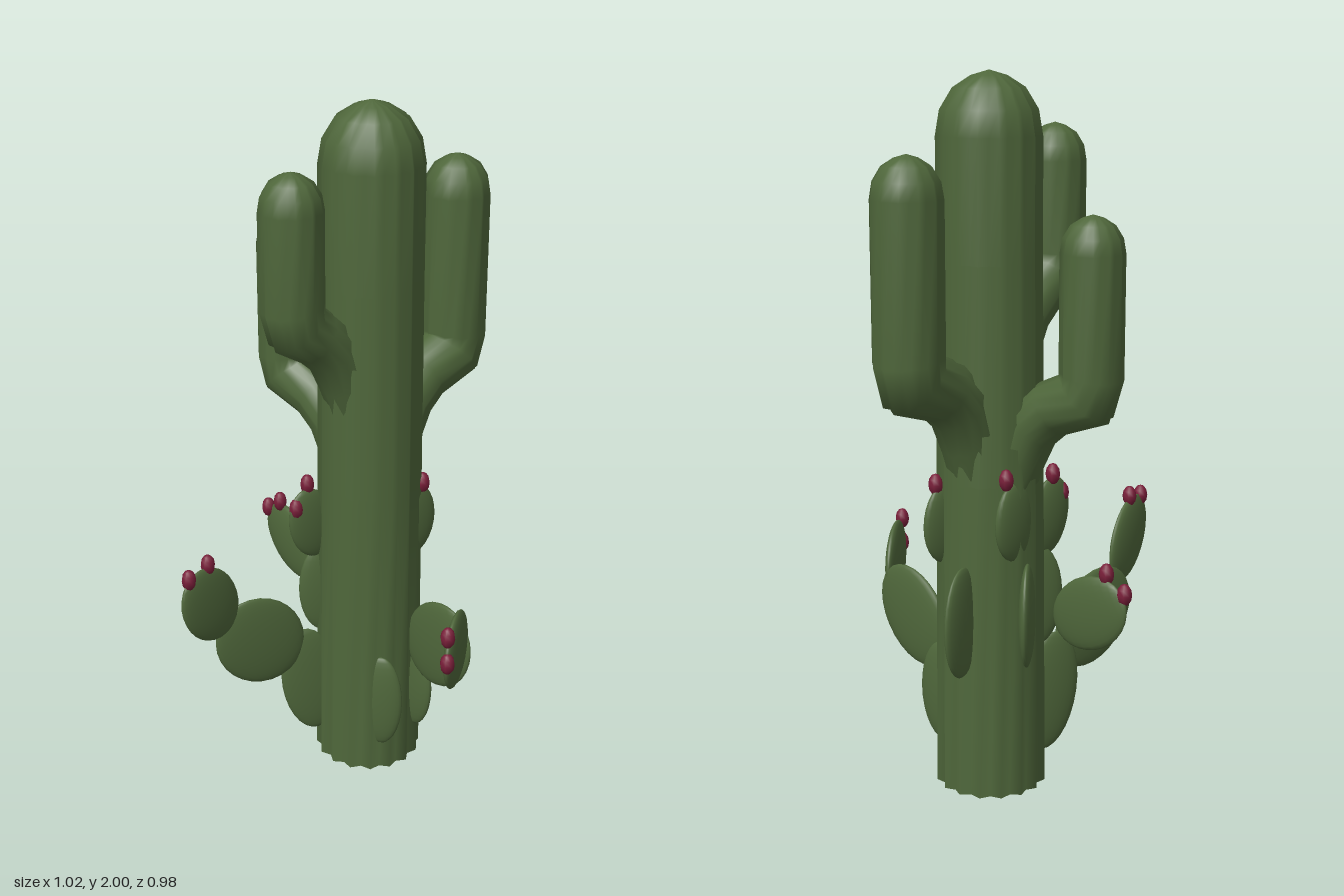
import * as THREE from 'three';

const green = new THREE.MeshStandardMaterial({ color: 0x4f673b });
green.name = 'cactusGreen';
const red = new THREE.MeshStandardMaterial({ color: 0x7a1f3a });
red.name = 'fruitRed';

const V = (x, y, z) => new THREE.Vector3(x, y, z);

// Ribbed tube swept along a planar path of [distance along dir, height, radius]
function ribbedStem(name, origin, dir, path, ribs) {
  const d = V(dir[0], 0, dir[1]).normalize();
  const side = V(d.z, 0, -d.x);
  const pts = path.map(([s, y]) => V(origin[0] + d.x * s, y, origin[1] + d.z * s));
  const n = ribs * 2, pos = [], index = [];
  path.forEach(([, , r], i) => {
    const a = pts[Math.max(i - 1, 0)], b = pts[Math.min(i + 1, pts.length - 1)];
    const inDir = pts[i].clone().sub(a).normalize(), outDir = b.clone().sub(pts[i]).normalize();
    const t = inDir.clone().add(outDir).normalize();
    const mitre = 1 / Math.max(0.75, t.dot(i ? inDir : outDir));
    const normal = t.clone().cross(side);
    for (let j = 0; j < n; j++) {
      const ang = (j / n) * Math.PI * 2, k = r * (j % 2 ? 0.92 : 1.03);
      const p = pts[i].clone()
        .addScaledVector(side, Math.cos(ang) * k)
        .addScaledVector(normal, Math.sin(ang) * k * mitre);
      pos.push(p.x, p.y, p.z);
      if (i < path.length - 1) {
        const j2 = (j + 1) % n, q = i * n;
        index.push(q + j, q + j2, q + n + j2, q + j, q + n + j2, q + n + j);
      }
    }
  });
  const g = new THREE.BufferGeometry();
  g.setAttribute('position', new THREE.Float32BufferAttribute(pos, 3));
  g.setIndex(index);
  g.computeVertexNormals();
  const m = new THREE.Mesh(g, green);
  m.name = name;
  return m;
}

// Rounded top profile of a stem
const dome = (s, top, r) => [[s, top - r * 1.2, r], [s, top - r * 0.72, r * 0.92],
  [s, top - r * 0.32, r * 0.68], [s, top - r * 0.1, r * 0.34], [s, top, 0.001]];

// Flat oval pad standing in the vertical plane of dir, leaning by tilt degrees
function pad(name, c, dir, tilt, long, short) {
  const d = V(dir[0], 0, dir[1]).normalize(), t = THREE.MathUtils.degToRad(tilt);
  const up = V(d.x * Math.sin(t), Math.cos(t), d.z * Math.sin(t));
  const out = V(d.x * Math.cos(t), -Math.sin(t), d.z * Math.cos(t));
  const m = new THREE.Mesh(new THREE.SphereGeometry(1, 24, 14), green);
  m.quaternion.setFromRotationMatrix(new THREE.Matrix4().makeBasis(out, up, out.clone().cross(up)));
  m.scale.set(short, long, 0.022);
  m.position.set(...c);
  m.name = name;
  return m;
}

export function createModel() {
  const model = new THREE.Group();
  const axis = [0.1, -0.04];

  // Trunk
  model.add(ribbedStem('trunk', axis, [1, 0],
    [[0, 0, 0.153], [0, 0.9, 0.146], [0, 1.5, 0.142], ...dome(0, 2, 0.141)], 16));
  const base = new THREE.Mesh(new THREE.CircleGeometry(0.147, 32), green);
  base.rotation.x = Math.PI / 2;
  base.position.set(axis[0], 0.001, axis[1]);
  base.name = 'trunkBase';
  model.add(base);

  // Upright arms: direction from trunk, reach, elbow height, top, radius
  const arms = [
    ['leftArm', [0.315, -0.105], 0.332, 1.215, 1.8, 0.094],
    ['rightArm', [-0.265, 0.075], 0.276, 1.43, 1.855, 0.086],
    ['backArm', [-0.13, -0.29], 0.318, 1.155, 1.64, 0.084],
  ];
  for (const [name, dir, reach, y, top, r] of arms) {
    model.add(ribbedStem(name, axis, dir, [
      [0.05, y - 0.32, r * 0.8], [0.09, y - 0.2, r * 0.85], [0.135, y - 0.1, r * 0.88],
      [0.2, y - 0.04, r * 0.9], [reach - 0.015, y, r * 0.95], [reach, y + 0.06, r],
      ...dome(reach, top, r)], 12));
  }

  // Oval pads: centre, plane direction, tilt, half length, half width
  const pads = [
    ['rightLowerPad', [-0.07, 0.24, -0.09], [-0.95, -0.1], 8, 0.18, 0.09],
    ['rightMiddlePad', [-0.237, 0.428, -0.072], [-1, 0.1], 45, 0.16, 0.13],
    ['rightOuterPad', [-0.41, 0.625, -0.01], [-0.9, 0.43], 35, 0.135, 0.098],
    ['frontLowerPad', [0.2, 0.25, 0.06], [0.3, 1], 0, 0.15, 0.08],
    ['frontMiddlePad', [0.215, 0.445, 0.19], [0.2, 1], 45, 0.16, 0.125],
    ['frontOuterPad', [0.165, 0.552, 0.385], [-0.65, 0.75], 60, 0.125, 0.112],
    ['frontSmallPad', [0.075, 0.235, 0.1], [0.75, 0.6], 0, 0.15, 0.065],
    ['backLowerPad', [0.07, 0.525, -0.18], [0.65, -0.75], 0, 0.15, 0.09],
    ['backOuterPad', [-0.01, 0.57, -0.36], [-0.25, -1], 60, 0.135, 0.1],
    ['backUpperPad', [0.11, 0.8, -0.175], [0.9, -0.25], 0, 0.11, 0.075],
    ['leftLowerPad', [0.245, 0.52, -0.12], [0.86, -0.5], 0, 0.158, 0.097],
    ['leftUpperPad', [0.215, 0.77, 0.01], [0.95, -0.2], 0, 0.115, 0.082],
    ['rightBackPad', [-0.015, 0.545, -0.1], [-0.95, -0.2], 0, 0.15, 0.08],
    ['rightUpperPad', [-0.06, 0.77, -0.095], [-1, 0.2], 15, 0.115, 0.075],
  ];
  for (const p of pads) model.add(pad(...p));

  // Red fruit on the pad rims
  const fruitShape = new THREE.SphereGeometry(1, 8, 6);
  const fruits = [
    [-0.482, 0.738, 0.025], [-0.413, 0.753, -0.01], [0.095, 0.65, 0.465], [0.092, 0.572, 0.472],
    [-0.045, 0.647, -0.468], [-0.03, 0.69, -0.408], [-0.07, 0.893, -0.1], [-0.113, 0.83, -0.083],
    [0.247, 0.885, 0.01], [0.143, 0.925, -0.185],
  ];
  for (const f of fruits) {
    const m = new THREE.Mesh(fruitShape, red);
    m.scale.set(0.021, 0.031, 0.021);
    m.position.set(...f);
    m.name = 'fruit';
    model.add(m);
  }
  return model;
}
